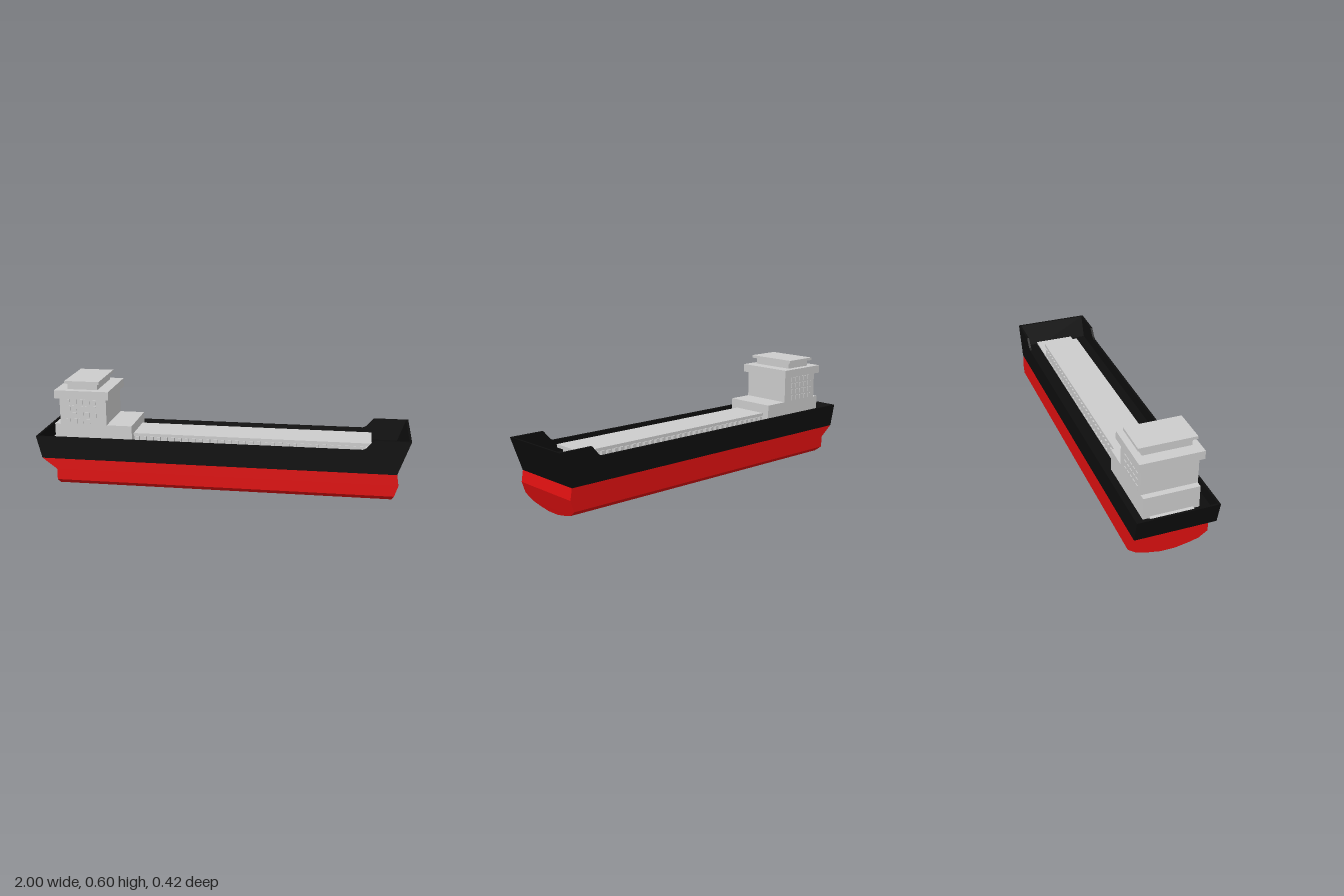
import * as THREE from 'three';

const material = (color) => new THREE.MeshStandardMaterial({ color, flatShading: true });
const grey = material(0xcccccc), black = material(0x0d0d0d), red = material(0xdd1010);

// Closed loft through rectangles stacked in y: [y, half width, stern x, bow x]
function loft(levels) {
  const pos = [], idx = [];
  levels.forEach(([y, w, s, b]) => pos.push(s, y, w, b, y, w, b, y, -w, s, y, -w));
  for (let l = 0; l < levels.length - 1; l++) {
    for (let i = 0; i < 4; i++) {
      const a = l * 4 + i, b = l * 4 + (i + 1) % 4;
      idx.push(a, b, b + 4, a, b + 4, a + 4);
    }
  }
  const t = (levels.length - 1) * 4;
  idx.push(0, 2, 1, 0, 3, 2, t, t + 1, t + 2, t, t + 2, t + 3);
  const g = new THREE.BufferGeometry();
  g.setAttribute('position', new THREE.Float32BufferAttribute(pos, 3));
  g.setIndex(idx);
  const flat = g.toNonIndexed();
  flat.computeVertexNormals();
  return flat;
}

// Side outline in x, y extruded across the ship, centred on z
function prism(points, depth) {
  const shape = new THREE.Shape(points.map(([x, y]) => new THREE.Vector2(x, y)));
  return new THREE.ExtrudeGeometry(shape, { depth, bevelEnabled: false }).translate(0, 0, -depth / 2);
}

export function createModel() {
  const ship = new THREE.Group();
  ship.name = 'cargoShip';

  function add(name, geometry, mat, parent = ship) {
    const mesh = new THREE.Mesh(geometry, mat);
    mesh.name = name;
    parent.add(mesh);
    return mesh;
  }
  // Box given by its extents in x and y and its half width in z
  function block(name, x0, x1, y0, y1, halfZ, mat = grey) {
    const mesh = add(name, new THREE.BoxGeometry(x1 - x0, y1 - y0, halfZ * 2), mat);
    mesh.position.set((x0 + x1) / 2, (y0 + y1) / 2, 0);
    return mesh;
  }

  // Red underwater hull with a rounded bilge
  add('lowerHull', loft([
    [0, 0.04, -0.89, 0.905],
    [0.013, 0.11, -0.89, 0.909],
    [0.027, 0.163, -0.89, 0.914],
    [0.06, 0.21, -0.89, 0.925],
    [0.12, 0.21, -0.89, 0.945],
    [0.18, 0.21, -0.97, 0.935],
  ]), red);

  // Black topsides: two side plates, raked transom and bow, deck inside
  const t = 0.012, halfBeam = 0.211;
  const side = [[-0.97, 0.18], [0.935, 0.18], [1, 0.36], [0.812, 0.36],
    [0.785, 0.328], [0.772, 0.314], [0.755, 0.305], [-1, 0.302]];
  for (const s of [1, -1]) {
    add(s > 0 ? 'leftSidePlate' : 'rightSidePlate', prism(side, t), black)
      .position.z = s * (halfBeam - t / 2);
  }
  const inner = 2 * (halfBeam - t);
  add('transom', prism([[-0.97, 0.18], [-0.97 + t, 0.18], [-1 + t, 0.302], [-1, 0.302]], inner), black);
  add('bowPlate', prism([[0.935 - t, 0.18], [0.935, 0.18], [1, 0.36], [1 - t, 0.36]], inner), black);
  add('deck', prism([[-0.965, 0.18], [0.93, 0.18], [0.95, 0.24], [-0.98, 0.24]], inner), black);

  // Cargo hatch: plinth, coaming, cover and rows of stiffeners
  block('hatchPlinth', -0.96, 0.948, 0.235, 0.25, 0.112);
  block('hatchCoaming', -0.5, 0.77, 0.25, 0.295, 0.09);
  block('hatchCover', -0.49, 0.8, 0.293, 0.31, 0.103);
  const ribs = new THREE.Group();
  ribs.name = 'hatchStiffeners';
  ship.add(ribs);
  const ribGeometry = new THREE.BoxGeometry(0.018, 0.045, 0.022);
  for (const s of [1, -1]) {
    for (let i = 0; i < 32; i++) {
      add('stiffener', ribGeometry, grey, ribs).position.set(-0.46 + i * 0.039, 0.2715, s * 0.1);
    }
  }

  // Superstructure at the stern
  block('houseBase', -0.91, -0.482, 0.24, 0.36, 0.145);
  block('accommodationTower', -0.878, -0.62, 0.36, 0.506, 0.146);
  block('bridgeDeck', -0.9, -0.601, 0.505, 0.55, 0.165);
  block('wheelhouse', -0.835, -0.67, 0.55, 0.586, 0.127);
  block('roof', -0.845, -0.655, 0.585, 0.6, 0.15);

  // Window grid on both tower sides
  const windows = new THREE.Group();
  windows.name = 'windows';
  ship.add(windows);
  const windowGeometry = new THREE.BoxGeometry(0.025, 0.026, 0.01);
  for (const s of [1, -1]) {
    for (let c = 0; c < 5; c++) {
      for (let r = 0; r < 4; r++) {
        add('window', windowGeometry, grey, windows)
          .position.set(-0.832 + c * 0.036, 0.378 + r * 0.036, s * 0.145);
      }
    }
  }
  return ship;
}
